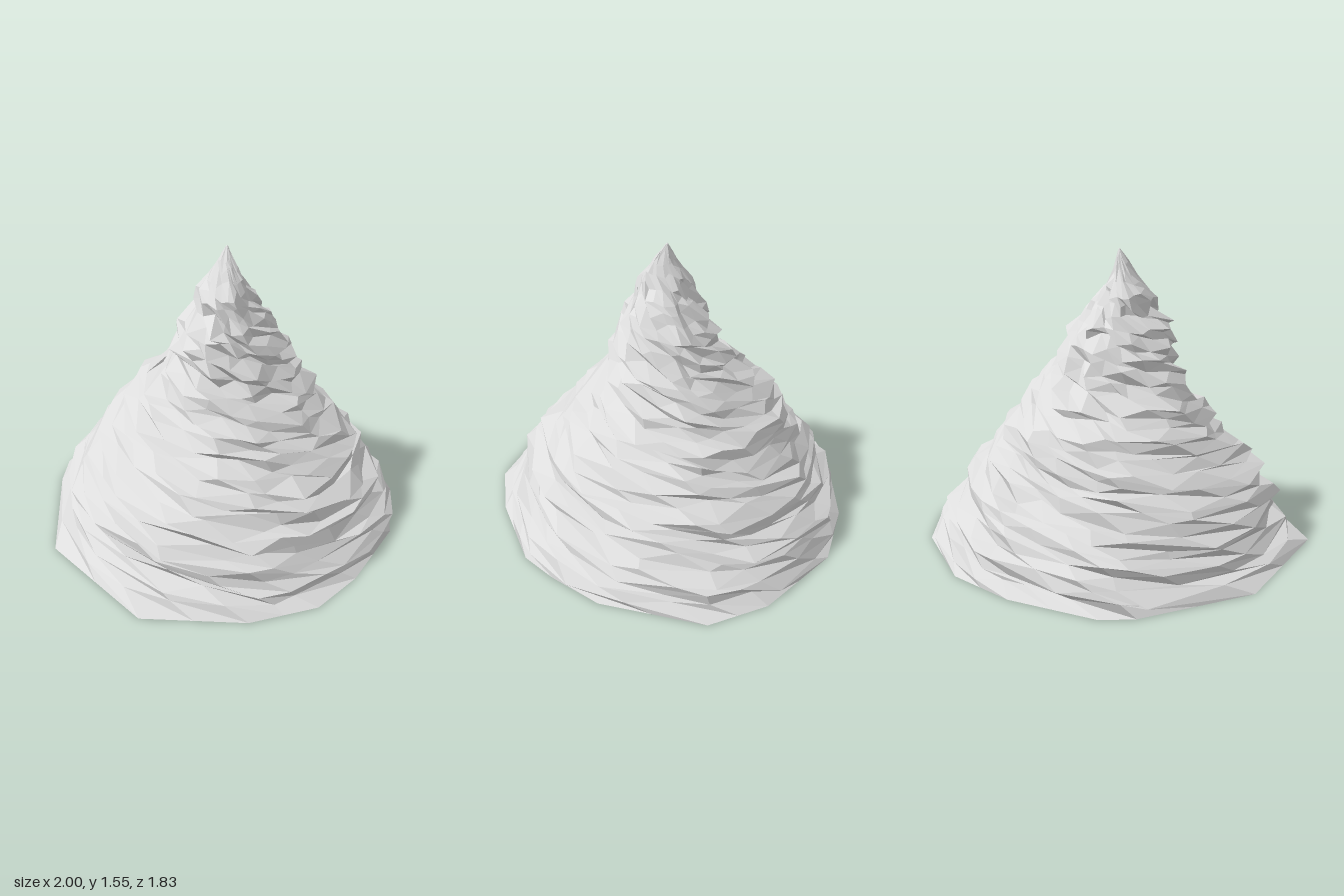
import * as THREE from 'three';

const HEIGHT = 1.55, RINGS = 30, SHEAR = -1.5, DEPTH = 0.91;

// ground outline as [x, z], running counter-clockwise seen from above
const OUTLINE = [[-0.1, 0.91], [0.34, 0.84], [0.52, 0.72], [0.75, 0.52], [1, 0.02], [0.92, -0.3], [0.62, -0.69],
  [0.28, -0.85], [-0.2, -0.92], [-0.37, -0.86], [-0.85, -0.45], [-1, 0.25], [-0.7, 0.69], [-0.4, 0.89]];

// edges of the mountain as [height, position] on its four sides
const EAST = [[0, 1], [0.2, 0.89], [0.42, 0.74], [0.55, 0.61], [0.68, 0.53], [0.88, 0.39], [1, 0.3], [1.1, 0.27],
  [1.19, 0.18], [1.29, 0.11], [1.42, 0.015], [HEIGHT, -0.015]];
const WEST = [[0, -1], [0.12, -0.87], [0.27, -0.85], [0.44, -0.74], [0.6, -0.57], [0.68, -0.52], [0.86, -0.39],
  [0.96, -0.33], [1.17, -0.29], [1.22, -0.21], [1.31, -0.2], [1.4, -0.12], [HEIGHT, -0.025]];
const FRONT = [[0, 0.91], [0.05, 0.91], [0.19, 0.82], [0.43, 0.7], [0.55, 0.61], [0.77, 0.44], [0.82, 0.36],
  [0.95, 0.32], [1.14, 0.26], [1.21, 0.22], [1.41, 0.13], [HEIGHT, 0.035]];
const BACK = [[0, -0.91], [0.14, -0.86], [0.29, -0.77], [0.48, -0.65], [0.6, -0.58], [0.74, -0.52], [0.79, -0.41],
  [0.92, -0.29], [1.1, -0.2], [1.24, -0.13], [1.36, -0.085], [1.46, -0.02], [HEIGHT, 0.025]];

function sample(table, y) {
  for (let i = 1; i < table.length; i++) {
    const [y0, a] = table[i - 1], [y1, b] = table[i];
    if (y <= y1) return a + (b - a) * (y - y0) / (y1 - y0);
  }
  return table[table.length - 1][1];
}

// repeatable noise in 0..1
function noise(i, j, k) {
  const s = Math.sin(i * 127.1 + j * 311.7 + k * 74.7) * 43758.5453;
  return s - Math.floor(s);
}

// outline corners scaled to unit radius, with a midpoint added on the long sides
function makeColumns() {
  const columns = [];
  OUTLINE.forEach(([x, z], i) => {
    const a = new THREE.Vector2(x, z / DEPTH);
    const [x1, z1] = OUTLINE[(i + 1) % OUTLINE.length];
    const b = new THREE.Vector2(x1, z1 / DEPTH);
    columns.push(a);
    if (a.distanceTo(b) > 0.33) columns.push(a.clone().lerp(b, 0.5));
  });
  return columns;
}

export function createModel() {
  const columns = makeColumns();
  const n = columns.length;

  // each ring is turned against the one below, so the ridges wind up to the peak
  const rings = [];
  for (let i = 0; i <= RINGS; i++) {
    const ring = [];
    const rough = i === 0 || i === RINGS ? 0 : 1;
    for (let j = 0; j < n; j++) {
      const y = (i + rough * (noise(i, j, 1) - 0.5) * 0.85) * HEIGHT / RINGS;
      const u = i * SHEAR + j + rough * (noise(i, j, 2) - 0.5) * 0.6;
      const k = Math.floor(u);
      const p = columns[THREE.MathUtils.euclideanModulo(k, n)].clone()
        .lerp(columns[THREE.MathUtils.euclideanModulo(k + 1, n)], u - k);

      // the ground outline rounds off with height
      p.setLength(THREE.MathUtils.lerp(p.length(), 1, Math.min(1, y / 0.8)));

      const east = sample(EAST, y), west = sample(WEST, y), front = sample(FRONT, y), back = sample(BACK, y);
      const rx = (east - west) / 2, rz = (front - back) / 2;
      const push = rough * (noise(i, j, 3) * 0.08 - 0.05) * Math.min(1, rx / 0.25);
      ring.push(new THREE.Vector3(
        (east + west) / 2 + p.x * (rx + push), y, (front + back) / 2 + p.y * (rz + push)));
    }
    rings.push(ring);
  }

  // faceted slopes, with a few facets split the long way
  const verts = [];
  const tri = (...corners) => corners.forEach((c) => verts.push(c.x, c.y, c.z));
  for (let i = 0; i < RINGS; i++) {
    for (let j = 0; j < n; j++) {
      const a = rings[i][j], b = rings[i][(j + 1) % n];
      const c = rings[i + 1][(j + 1) % n], d = rings[i + 1][j];
      tri(a, b, c);
      tri(a, c, d);
    }
  }

  // closed tip
  const tip = new THREE.Vector3(-0.02, HEIGHT + 0.005, 0.03);
  rings[RINGS].forEach((a, j) => tri(a, rings[RINGS][(j + 1) % n], tip));

  const slope = new THREE.BufferGeometry();
  slope.setAttribute('position', new THREE.Float32BufferAttribute(verts, 3));
  slope.computeVertexNormals();

  // flat underside
  const baseGeometry = new THREE.ShapeGeometry(
    new THREE.Shape(OUTLINE.map(([x, z]) => new THREE.Vector2(x, z))));
  baseGeometry.rotateX(Math.PI / 2);

  const rock = new THREE.MeshStandardMaterial({ color: 0xdddddd });
  rock.name = 'paleRock';
  rock.flatShading = true;

  const group = new THREE.Group();
  group.name = 'rockyMountain';
  const slopes = new THREE.Mesh(slope, rock);
  slopes.name = 'rockSlopes';
  const base = new THREE.Mesh(baseGeometry, rock);
  base.name = 'underside';
  group.add(slopes, base);
  return group;
}
